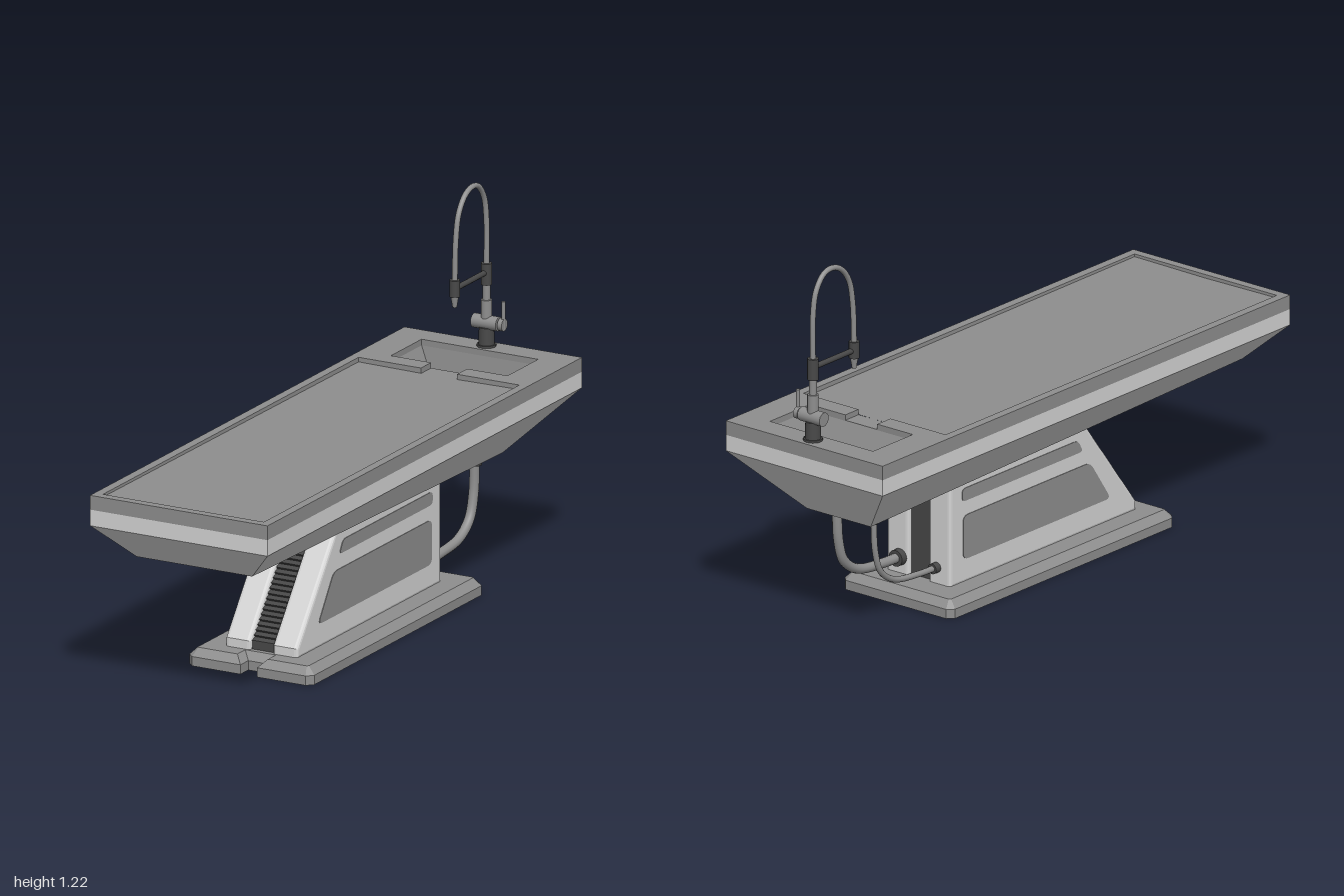
import * as THREE from 'three';

const paint = (name, color) => Object.assign(new THREE.MeshStandardMaterial({ color }), { name });

export function createModel() {
  const model = new THREE.Group();
  model.name = 'examinationTable';
  const light = paint('lightEnamel', 0xd4d4d4);
  const steel = paint('steelGrey', 0x8e8e8e);
  const dark = paint('darkRubber', 0x484848);

  const add = (name, geometry, material, x = 0, y = 0, z = 0) => {
    const mesh = new THREE.Mesh(geometry, material);
    mesh.name = name;
    mesh.position.set(x, y, z);
    model.add(mesh);
    return mesh;
  };
  const outline = (pts) => new THREE.Shape(pts.map((p) => new THREE.Vector2(...p)));

  // Four-cornered ring: half width, y and z at the front, then at the back
  const ring = (wf, yf, zf, wb, yb, zb) => [[wf, yf, zf], [wb, yb, zb], [-wb, yb, zb], [-wf, yf, zf]];
  const flatRing = (w, y, zf, zb) => ring(w, y, zf, w, y, zb);

  // Flat-sided skin between rings; rising rings face outwards, falling ones inwards
  const loft = (rings, capFirst, capLast) => {
    const pos = [];
    const quad = (a, b, c, d) => pos.push(...a, ...b, ...c, ...a, ...c, ...d);
    for (let r = 0; r + 1 < rings.length; r++) {
      const [lo, hi] = [rings[r], rings[r + 1]];
      for (let i = 0; i < 4; i++) quad(lo[i], lo[(i + 1) % 4], hi[(i + 1) % 4], hi[i]);
    }
    if (capFirst) quad(...[...rings[0]].reverse());
    if (capLast) quad(...rings[rings.length - 1]);
    const g = new THREE.BufferGeometry();
    g.setAttribute('position', new THREE.Float32BufferAttribute(pos, 3));
    g.computeVertexNormals();
    return g;
  };

  // Table body: tapered hull, light band, grey band
  add('hull', loft([ring(0.208, 0.455, 0.9, 0.13, 0.37, -0.83), flatRing(0.32, 0.567, 1, -1)], true), light);
  add('lowerBand', loft([flatRing(0.32, 0.567, 1, -1), flatRing(0.32, 0.62, 1, -1)]), light);
  add('upperBand', loft([flatRing(0.32, 0.62, 1, -1), flatRing(0.32, 0.647, 1, -1)]), steel);

  // Top rim, cut out for the tray, drain channel and sink (drawn as x, -z)
  const rim = outline([[-0.32, -1], [0.32, -1], [0.32, 1], [-0.32, 1]]);
  const half = [[0.29, -0.97], [0.29, 0.655], [0.065, 0.655], [0.065, 0.72], [0.21, 0.72], [0.21, 0.915]];
  const mirrored = half.map(([x, v]) => [-x, v]).reverse();
  rim.holes.push(outline([...half, ...mirrored]));
  add('topRim', new THREE.ExtrudeGeometry(rim, { depth: 0.02, bevelEnabled: false }).rotateX(-Math.PI / 2), steel, 0, 0.647);

  // Tray floor falls to its centre line and towards the sink
  const floor = new THREE.PlaneGeometry(0.58, 1.625, 2, 1).rotateX(-Math.PI / 2).translate(0, 0, 0.1575);
  const fp = floor.attributes.position;
  for (let i = 0; i < fp.count; i++) {
    fp.setY(i, (fp.getZ(i) > 0 ? 0.658 : 0.652) - (Math.abs(fp.getX(i)) < 0.01 ? 0.003 : 0));
  }
  floor.computeVertexNormals();
  add('trayFloor', floor, steel);
  add('drainChannel', new THREE.BoxGeometry(0.13, 0.012, 0.065), steel, 0, 0.643, -0.6875);
  add('sinkBasin', loft([flatRing(0.21, 0.647, -0.72, -0.915), flatRing(0.18, 0.58, -0.75, -0.905)], false, true), steel);

  // Floor plate with a chamfered top and a front notch
  const plate = outline([[-0.205, -0.555], [-0.03, -0.555], [-0.03, -0.505], [0.03, -0.505], [0.03, -0.555],
    [0.205, -0.555], [0.225, -0.535], [0.225, 0.53], [0.205, 0.55], [-0.205, 0.55], [-0.225, 0.53], [-0.225, -0.535]]);
  add('basePlate', new THREE.ExtrudeGeometry(plate, { depth: 0.03, bevelEnabled: false }).rotateX(-Math.PI / 2), steel);
  add('baseChamfer', new THREE.ExtrudeGeometry(plate, {
    depth: 0.001, bevelThickness: 0.025, bevelSize: 0.025, bevelOffset: -0.025, bevelSegments: 1,
  }).rotateX(-Math.PI / 2), steel, 0, 0.03);

  // Side profiles are drawn as (-z, y) and extruded along x
  const sideways = (shape, options) => new THREE.ExtrudeGeometry(shape, options).rotateY(Math.PI / 2);
  const column = outline([[-0.475, 0.05], [0.44, 0.05], [0.44, 0.397], [-0.21, 0.43], [-0.475, 0.085]]);
  const rounded = (points, radius) => {
    const s = new THREE.Shape();
    points.forEach((p, i) => {
      const here = new THREE.Vector2(...p);
      const towards = (q) => {
        const v = new THREE.Vector2(...q).sub(here);
        return v.setLength(radius).add(here);
      };
      const a = towards(points[(i + points.length - 1) % points.length]);
      const b = towards(points[(i + 1) % points.length]);
      if (i) s.lineTo(a.x, a.y); else s.moveTo(a.x, a.y);
      s.quadraticCurveTo(here.x, here.y, b.x, b.y);
    });
    s.closePath();
    return s;
  };
  const upperPanel = rounded([[-0.21, 0.325], [0.383, 0.325], [0.383, 0.368], [-0.185, 0.368]], 0.018);
  const lowerPanel = rounded([[-0.345, 0.13], [0.378, 0.13], [0.378, 0.277], [-0.245, 0.277]], 0.025);
  for (const side of [1, -1]) {
    const tag = side > 0 ? 'left' : 'right';
    add(tag + 'Column', sideways(column, {
      depth: 0.066, bevelThickness: 0.012, bevelSize: 0.012, bevelOffset: -0.012, bevelSegments: 3,
    }), light, side > 0 ? 0.052 : -0.118);
    const thin = { depth: 0.004, bevelEnabled: false };
    const x = side > 0 ? 0.128 : -0.132;
    add(tag + 'UpperPanel', sideways(upperPanel, thin), steel, x);
    add(tag + 'LowerPanel', sideways(lowerPanel, thin), steel, x);
  }

  // Dark bellows between the columns, ridged along the sloping front
  const ridges = [];
  for (let i = 0; i <= 48; i++) {
    const t = i / 48;
    ridges.push([-0.2 - 0.262 * t + (i % 2 ? 0.012 : 0), 0.425 - 0.34 * t]);
  }
  add('bellows', sideways(outline([[-0.462, 0.05], [0.425, 0.05], [0.425, 0.397], ...ridges]), { depth: 0.084, bevelEnabled: false }), dark, -0.042);

  const cylinder = (name, material, top, bottom, y0, y1, x, z, sides = 20) =>
    add(name, new THREE.CylinderGeometry(top, bottom, y1 - y0, sides), material, x, (y0 + y1) / 2, z);
  const tube = (name, points, radius, material) => add(name, new THREE.TubeGeometry(
    new THREE.CatmullRomCurve3(points.map((p) => new THREE.Vector3(...p))), 48, radius, 12), material);

  // Supply and waste hoses behind the pedestal
  for (const [name, x, r] of [['wasteHose', 0.075, 0.016], ['supplyHose', -0.075, 0.01]]) {
    tube(name, [[x, 0.11, -0.43], [x, 0.113, -0.53], [x, 0.13, -0.65], [x, 0.175, -0.715],
      [x, 0.25, -0.742], [x, 0.38, -0.75]], r, steel);
    cylinder(name + 'Flange', dark, r * 2.2, r * 2.2, 0.362, 0.38, x, -0.75);
    cylinder(name + 'Neck', dark, r * 1.6, r * 1.4, 0.345, 0.365, x, -0.75);
    cylinder(name + 'Collar', dark, r * 1.7, r * 1.7, 0, 0.025, x, 0).rotation.x = Math.PI / 2;
    model.children[model.children.length - 1].position.set(x, 0.11, -0.45);
  }

  // Mixer tap
  const tz = -0.957;
  cylinder('tapFlange', dark, 0.031, 0.031, 0.665, 0.674, 0, tz);
  cylinder('tapBase', dark, 0.024, 0.026, 0.674, 0.73, 0, tz);
  cylinder('mixerBody', steel, 0.023, 0.023, 0.7, 0.79, 0, tz).rotation.z = Math.PI / 2;
  const knob = cylinder('leverKnob', steel, 0.02, 0.02, 0.737, 0.753, 0.057, tz);
  knob.rotation.z = Math.PI / 2;
  cylinder('lever', steel, 0.006, 0.006, 0.73, 0.822, 0.061, tz, 10);
  cylinder('tapColumn', steel, 0.018, 0.018, 0.745, 0.82, 0, tz);
  cylinder('tapNeck', steel, 0.012, 0.012, 0.82, 0.88, 0, tz);
  cylinder('tapCollar', dark, 0.018, 0.018, 0.87, 0.94, 0, tz);
  tube('springHose', [[0, 0.93, tz], [0, 1.08, tz], [0, 1.16, -0.942], [0, 1.207, -0.905], [0, 1.216, -0.865],
    [0, 1.2, -0.82], [0, 1.15, -0.78], [0, 1.07, -0.762], [0, 0.93, -0.755]], 0.009, steel);
  const arm = cylinder('holderArm', dark, 0.009, 0.009, 0.81, 1.01, 0, -0.856, 12);
  arm.rotation.x = Math.PI / 2;
  cylinder('sprayCollar', dark, 0.017, 0.017, 0.885, 0.94, 0, -0.755);
  cylinder('sprayNozzle', steel, 0.013, 0.007, 0.85, 0.885, 0, -0.755);

  return model;
}
